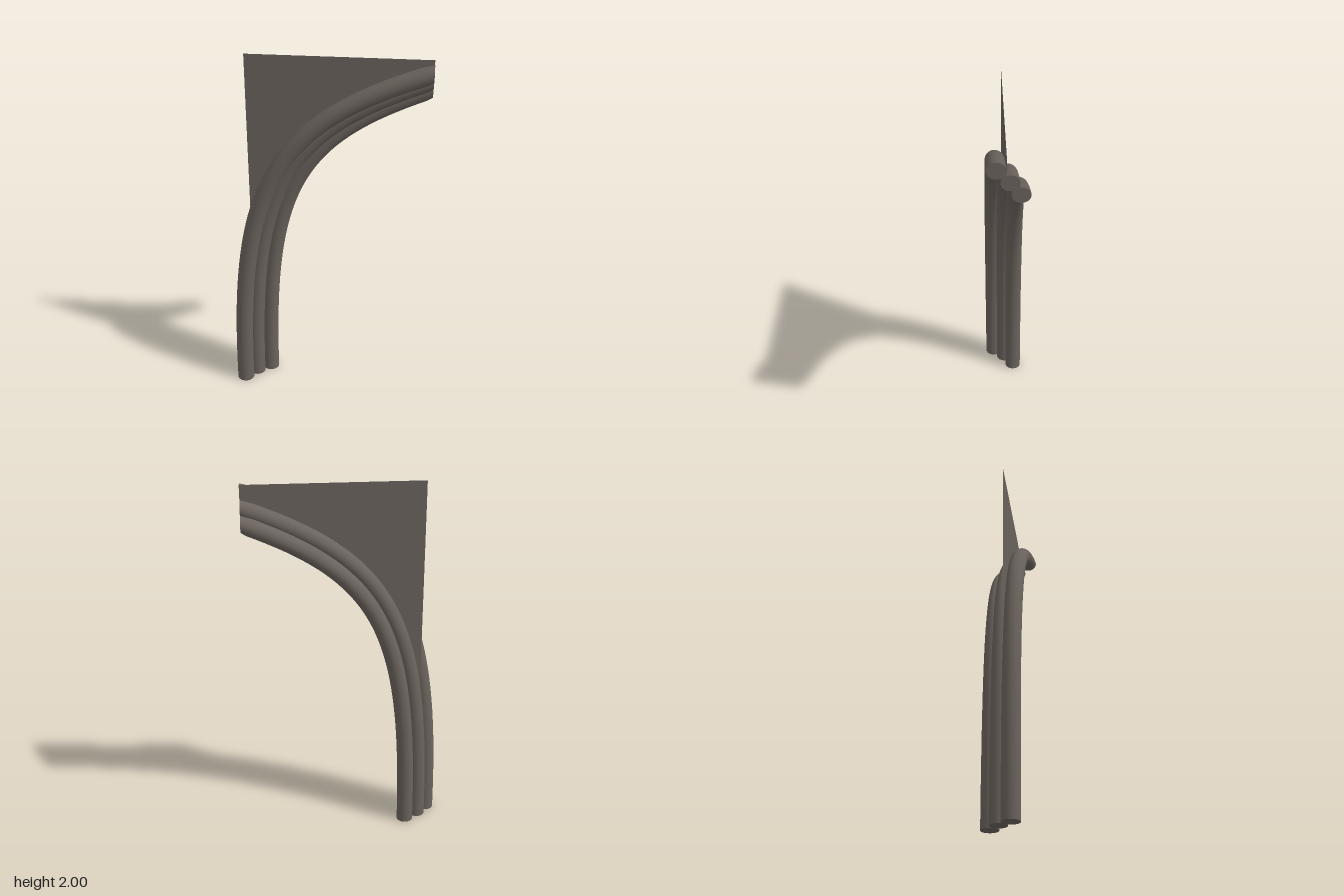
import * as THREE from 'three';

const END_X = 0.523;

export function createModel() {
  const group = new THREE.Group();
  const stone = new THREE.MeshStandardMaterial({ color: 0x6a625c });
  stone.name = 'warm grey stone';
  stone.side = THREE.DoubleSide;

  const add = (name, geometry) => {
    const mesh = new THREE.Mesh(geometry, stone);
    mesh.name = name;
    group.add(mesh);
    return mesh;
  };

  // Each rib rises vertically and bends over towards +x
  const ribs = [
    { name: 'frontRib', z: 0.056, r: 0.047, x: -0.477, c1: 1.3, c2: [-0.28, 1.66], top: 1.948 },
    { name: 'middleRib', z: -0.008, r: 0.045, x: -0.418, c1: 1.26, c2: [-0.235, 1.595], top: 1.884 },
    { name: 'backRib', z: -0.058, r: 0.045, x: -0.343, c1: 1.22, c2: [-0.19, 1.53], top: 1.82 },
  ];
  const steps = 48, sides = 32;
  const curves = ribs.map(({ name, z, r, x, c1, c2, top }) => {
    const curve = new THREE.CubicBezierCurve3(
      new THREE.Vector3(x, 0, z),
      new THREE.Vector3(x, c1, z),
      new THREE.Vector3(c2[0], c2[1], z),
      new THREE.Vector3(END_X, top, z));
    const tube = new THREE.TubeGeometry(curve, steps, r, sides);
    // Cut the upper end flush with a vertical plane
    const pos = tube.attributes.position;
    for (let i = steps * (sides + 1); i < pos.count; i++) pos.setX(i, END_X);
    add(name, tube);

    // Flat end faces
    const foot = add(name + 'Foot', new THREE.CircleGeometry(r, sides));
    foot.rotation.x = Math.PI / 2;
    foot.position.set(x, 0, z);
    const tip = add(name + 'Tip', new THREE.CircleGeometry(r, sides));
    tip.scale.y = curve.getTangent(1).x;
    tip.rotation.y = Math.PI / 2;
    tip.position.set(END_X, top, z);
    return curve;
  });

  // Thin spandrel panel filling the corner above the ribs
  const lower = [];
  for (let i = 0; i <= 40; i++) {
    const p = curves[1].getPoint(0.27 + 0.73 * i / 40);
    lower.push(new THREE.Vector2(p.x, p.y));
  }
  const panel = new THREE.Shape([
    new THREE.Vector2(-0.416, 2),
    new THREE.Vector2(-0.416, lower[0].y),
    ...lower,
    new THREE.Vector2(END_X, 2),
  ]);
  add('spandrelPanel', new THREE.ShapeGeometry(panel)).position.z = 0.008;

  return group;
}
